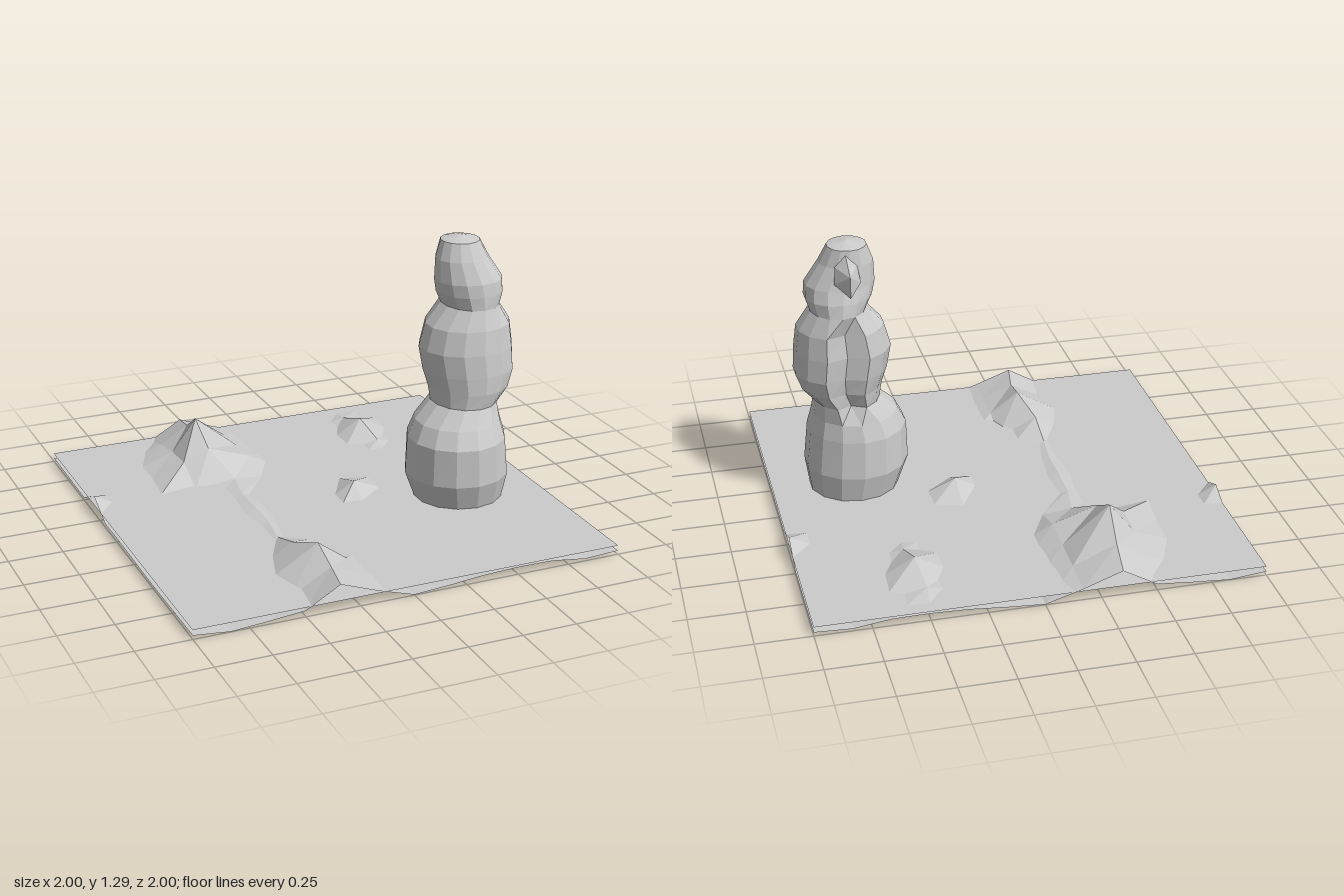
import * as THREE from 'three';
import { ConvexGeometry } from 'three/addons/geometries/ConvexGeometry.js';

const CENTRE_X = 0.62;

function material(side = THREE.FrontSide) {
  return new THREE.MeshStandardMaterial({ color: 0xcccccc, flatShading: true, side });
}

function addMesh(group, name, geometry, side) {
  const mesh = new THREE.Mesh(geometry, material(side));
  mesh.name = name;
  group.add(mesh);
  return mesh;
}

// Wavy ground: low rolling columns with a few raised nodes, repeating at the edges
function groundGeometry() {
  const n = 12;
  const base = [0.02, 0.003, 0.015, 0.02, 0.058, 0.015, 0.004, 0.015, 0.03, 0.036, 0.034, 0.012];
  // column, row, height, sideways shift
  const raised = [
    [3, 0, 0.03, 0], [4, 0, 0.12, -0.01], [5, 0, 0.055, 0],
    [3, 1, 0.075, 0], [4, 1, 0.155, -0.03], [5, 1, 0.07, 0],
    [2, 2, 0.04, 0], [3, 2, 0.1, 0], [4, 2, 0.255, -0.045], [5, 2, 0.08, 0],
    [2, 3, 0.04, 0], [3, 3, 0.11, 0], [4, 3, 0.16, -0.04], [5, 3, 0.09, 0],
    [2, 4, 0.048, 0], [3, 4, 0.035, 0], [4, 4, 0.06, 0.03], [5, 4, 0.045, 0],
    [4, 8, 0.05, -0.02], [4, 9, 0.1, -0.02], [3, 10, 0.045, 0], [4, 10, 0.16, 0.03],
    [5, 10, 0.06, 0], [4, 11, 0.12, 0.02], [5, 11, 0.06, 0],
    [0, 4, 0.09, 0], [7, 6, 0.1, 0], [7, 5, 0.045, 0],
    [9, 1, 0.06, -0.02], [9, 2, 0.115, 0], [9, 3, 0.06, 0.02],
  ];
  const geometry = new THREE.PlaneGeometry(2, 2, n, n).rotateX(-Math.PI / 2);
  const pos = geometry.attributes.position;
  for (let j = 0; j <= n; j++) {
    for (let i = 0; i <= n; i++) {
      const k = j * (n + 1) + i;
      const hit = raised.find(r => r[0] === i % n && r[1] === j % n);
      pos.setY(k, hit ? hit[2] : base[i % n] * (0.85 + 0.15 * Math.cos(j * Math.PI / 3)));
      if (hit) pos.setX(k, pos.getX(k) + hit[3]);
    }
  }
  geometry.computeVertexNormals();
  return geometry;
}

// Stacked rings, each given as height, x range and z range
function bodyGeometry() {
  const rings = [
    [0.03, 0.41, 0.82, -0.01, 0.39],
    [0.17, 0.355, 0.84, -0.04, 0.44],
    [0.35, 0.36, 0.82, -0.03, 0.44],
    [0.43, 0.40, 0.80, -0.01, 0.40],
    [0.51, 0.485, 0.79, 0.00, 0.35],
    [0.58, 0.475, 0.85, -0.02, 0.36],
    [0.66, 0.45, 0.88, -0.035, 0.36],
    [0.77, 0.43, 0.875, -0.04, 0.355],
    [0.88, 0.46, 0.86, -0.03, 0.34],
    [0.97, 0.54, 0.80, -0.01, 0.31],
    [1.03, 0.51, 0.82, 0.00, 0.31],
    [1.09, 0.495, 0.815, 0.02, 0.305],
    [1.19, 0.50, 0.75, 0.04, 0.27],
    [1.27, 0.53, 0.71, 0.05, 0.235],
  ];
  const sides = 14;
  const points = [];
  const index = [];
  rings.forEach(([y, x0, x1, z0, z1]) => {
    for (let i = 0; i < sides; i++) {
      const a = (i / sides) * Math.PI * 2;
      // Groove down the back of the middle ball
      const groove = i === 0 && y > 0.5 && y < 0.95 ? 0.05 : 0;
      points.push(
        (x0 + x1) / 2 + Math.sin(a) * (x1 - x0) / 2, y,
        (z0 + z1) / 2 - Math.cos(a) * (z1 - z0) / 2 + groove);
    }
  });
  const bottom = points.length / 3;
  points.push(CENTRE_X, 0.03, 0.19, CENTRE_X, 1.29, 0.14);
  const last = (rings.length - 1) * sides;
  for (let i = 0; i < sides; i++) {
    const n = (i + 1) % sides;
    for (let r = 0; r < rings.length - 1; r++) {
      const a = r * sides + i, b = r * sides + n;
      index.push(a, a + sides, b, b, a + sides, b + sides);
    }
    index.push(bottom, i, n, bottom + 1, last + n, last + i);
  }
  const geometry = new THREE.BufferGeometry();
  geometry.setAttribute('position', new THREE.Float32BufferAttribute(points, 3));
  geometry.setIndex(index);
  geometry.computeVertexNormals();
  return geometry;
}

export function createModel() {
  const model = new THREE.Group();
  model.name = 'snowScene';

  addMesh(model, 'ground', groundGeometry(), THREE.DoubleSide);

  // Flat sheet that the ground bumps rise through
  const sheet = new THREE.PlaneGeometry(2, 2).rotateX(-Math.PI / 2).translate(0, 0.045, 0);
  addMesh(model, 'snowSheet', sheet, THREE.DoubleSide);

  const snowman = new THREE.Group();
  snowman.name = 'snowman';
  model.add(snowman);
  addMesh(snowman, 'body', bodyGeometry(), THREE.DoubleSide);

  // Blunt nose on the back-facing side of the head
  const nose = [
    [0.59, 1.2, 0.05], [0.69, 1.2, 0.05], [0.64, 1.25, 0.05], [0.64, 1.19, -0.06],
    [0.64, 1.09, -0.06], [0.58, 1.13, 0.02], [0.70, 1.13, 0.02], [0.64, 1.08, 0.03],
  ];
  addMesh(snowman, 'nose', new ConvexGeometry(nose.map(p => new THREE.Vector3(...p))));

  return model;
}
